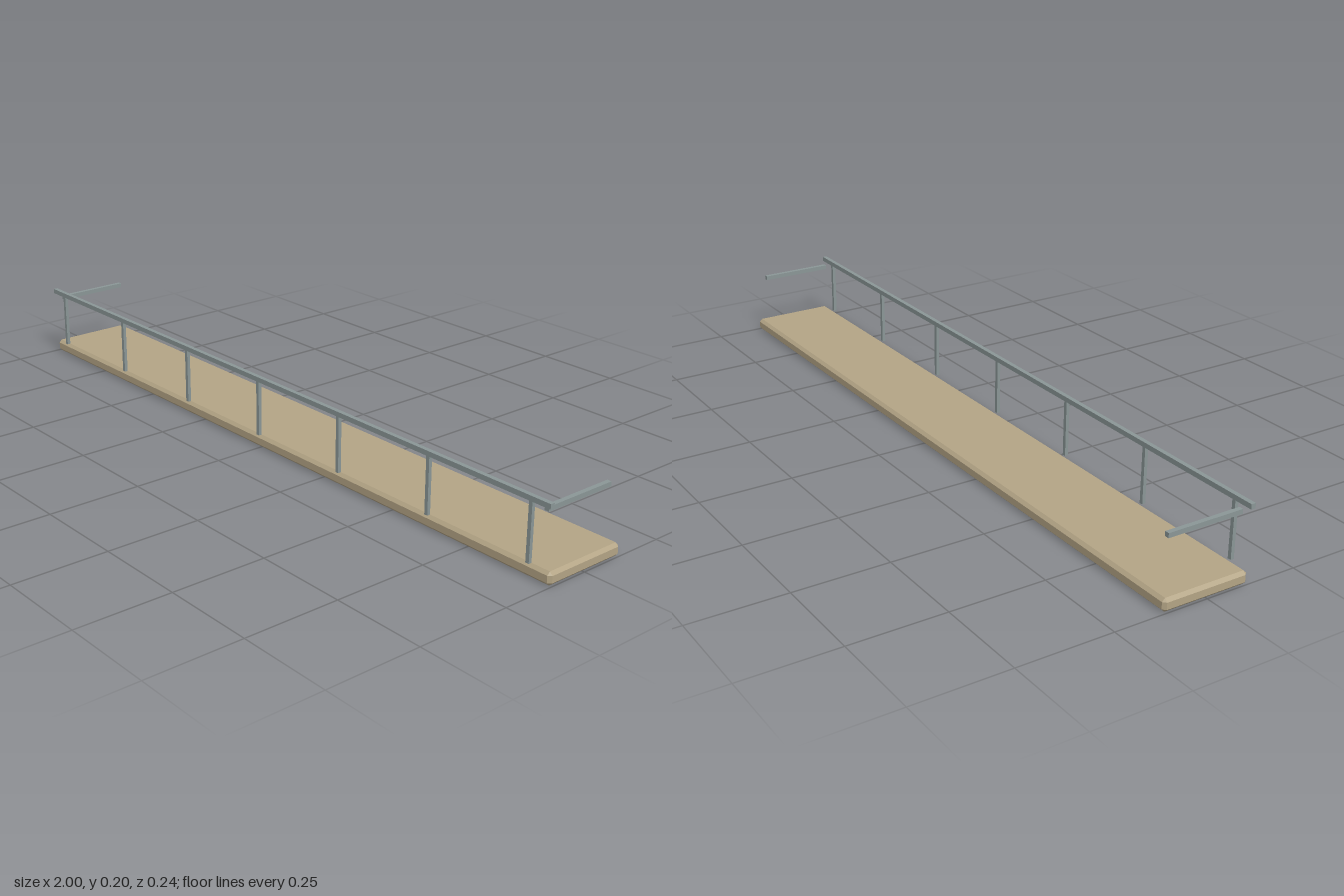
import * as THREE from 'three';
import { ConvexGeometry } from 'three/addons/geometries/ConvexGeometry.js';

// Box with every edge chamfered by c
function chamferedBox(w, h, d, c) {
  const half = [w / 2, h / 2, d / 2];
  const points = [];
  for (let axis = 0; axis < 3; axis++) {
    for (const sx of [-1, 1]) for (const sy of [-1, 1]) for (const sz of [-1, 1]) {
      const p = half.map((v, i) => (i === axis ? v : v - c));
      points.push(new THREE.Vector3(sx * p[0], sy * p[1], sz * p[2]));
    }
  }
  return new ConvexGeometry(points);
}

export function createModel() {
  const group = new THREE.Group();
  const stone = new THREE.MeshStandardMaterial({ color: 0xb3a485 });
  stone.name = 'tan slab';
  const metal = new THREE.MeshStandardMaterial({ color: 0x8a9696 });
  metal.name = 'grey metal';

  const add = (name, geometry, material, x, y, z) => {
    const mesh = new THREE.Mesh(geometry, material);
    mesh.name = name;
    mesh.position.set(x, y, z);
    group.add(mesh);
  };

  // Balcony floor
  add('floorSlab', chamferedBox(2, 0.034, 0.235, 0.008), stone, 0, 0.018, -0.0025);

  // Front handrail
  add('frontRail', new THREE.BoxGeometry(1.992, 0.013, 0.012), metal, -0.002, 0.1925, 0.115);

  // Seven posts under the front handrail
  const post = new THREE.BoxGeometry(0.01, 0.152, 0.009);
  for (let i = -3; i <= 3; i++) {
    add('post', post, metal, i * 0.313 - 0.002, 0.113, 0.115);
  }

  // Short rails running back at both ends
  const sideRail = new THREE.BoxGeometry(0.012, 0.012, 0.205);
  add('leftSideRail', sideRail, metal, 0.969, 0.175, 0.001);
  add('rightSideRail', sideRail, metal, -0.973, 0.175, 0.001);

  return group;
}
